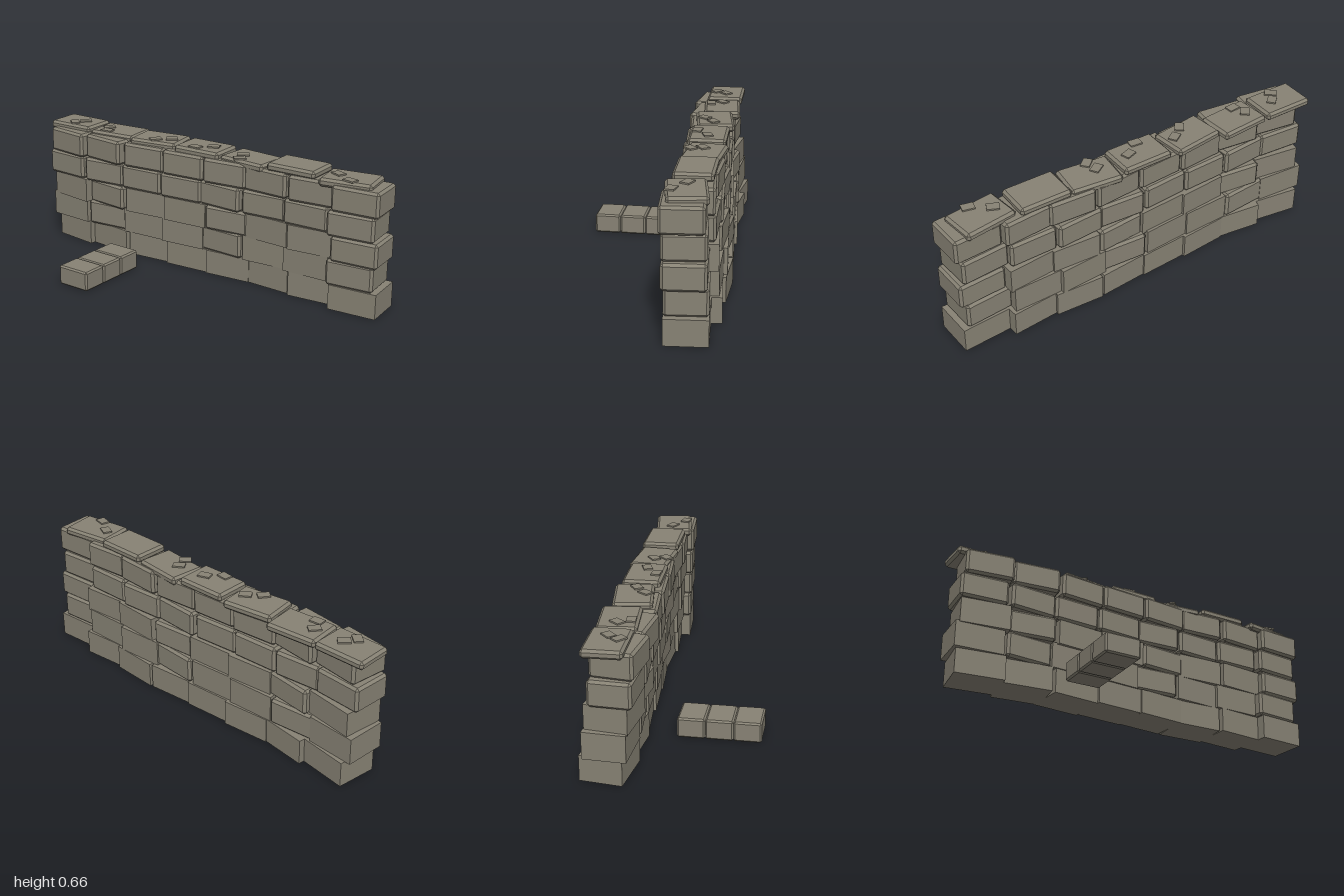
import * as THREE from 'three';
import { ConvexGeometry } from 'three/addons/geometries/ConvexGeometry.js';

const stone = new THREE.MeshStandardMaterial({ color: 0x878274 });
stone.name = 'weathered stone';

// Box with every edge cut by a flat chamfer
function chamferBox(w, h, d, c) {
  const points = [];
  for (const sx of [-1, 1]) for (const sy of [-1, 1]) for (const sz of [-1, 1]) {
    const x = w / 2, y = h / 2, z = d / 2;
    points.push(
      new THREE.Vector3(sx * x, sy * (y - c), sz * (z - c)),
      new THREE.Vector3(sx * (x - c), sy * y, sz * (z - c)),
      new THREE.Vector3(sx * (x - c), sy * (y - c), sz * z));
  }
  return new ConvexGeometry(points);
}

function addBlock(parent, name, geometry, x, y, z, yaw = 0) {
  const mesh = new THREE.Mesh(geometry, stone);
  mesh.name = name;
  mesh.position.set(x, y, z);
  mesh.rotation.y = yaw;
  parent.add(mesh);
  return mesh;
}

export function createModel() {
  const model = new THREE.Group();
  model.name = 'stoneWall';

  // Five leaning courses, eight blocks each, from front to back
  const footX = [0.25, 0.278, 0.285, 0.272, 0.258, 0.25, 0.243, 0.24];
  const lean = [0.005, 0.009, 0.011, 0.011, 0.011, 0.012, 0.014, 0.014];
  const oddYaw = [0.08, 0.1, -0.03, 0.1, 0.08, 0.1, -0.1, -0.12];
  const evenYaw = [0.1, 0.03, 0.08, -0.04, 0.09, 0.06, 0.1, -0.05];
  const courseBase = [0, 0.124, 0.248, 0.374, 0.5];
  const courseHeight = [0.125, 0.131, 0.126, 0.126, 0.127];
  const wall = new THREE.Group();
  wall.name = 'wallCourses';
  model.add(wall);
  courseBase.forEach((base, row) => {
    const h = courseHeight[row];
    const start = row % 2 ? 0.85 : 0.873;
    const yaws = row % 2 ? evenYaw : oddYaw;
    for (let i = 0; i < 8; i++) {
      // Lower courses keep mostly square edges
      const worn = row > 2 || (row > 0 && i % 3 === 0);
      const geometry = worn ? chamferBox(0.2, h, 0.242, 0.012) : new THREE.BoxGeometry(0.2, h, 0.245);
      addBlock(wall, 'wallBlock', geometry,
        footX[i] - lean[i] * row, base + h / 2, start - i * 0.2436, yaws[i]);
    }
  });

  // Capping slabs: x, top height, z, yaw
  const caps = [
    [0.235, 0.65, 0.805, 0.16], [0.238, 0.663, 0.52, 0.02], [0.24, 0.645, 0.245, -0.08],
    [0.23, 0.656, -0.03, 0.03], [0.228, 0.652, -0.315, 0.15], [0.236, 0.645, -0.59, 0.1],
    [0.229, 0.652, -0.865, 0.02],
  ];
  // Two flakes on each slab: x, z, yaw
  const flakes = [
    [[0.172, 0.833, -0.2], [0.23, 0.738, -0.4]],
    [],
    [[0.172, 0.218, 0.75], [0.23, 0.2, 0.6]],
    [[0.172, -0.05, -0.08], [0.23, 0.023, 0.35]],
    [[0.175, -0.305, 0.95], [0.228, -0.24, 0.6]],
    [[0.173, -0.627, 0.1], [0.23, -0.66, 0.9]],
    [[0.178, -0.86, -0.7], [0.23, -0.828, 0.75]],
  ];
  const capGeometry = chamferBox(0.186, 0.042, 0.264, 0.012);
  const flakeGeometry = new THREE.BoxGeometry(0.044, 0.008, 0.06);
  const coping = new THREE.Group();
  coping.name = 'coping';
  model.add(coping);
  caps.forEach(([x, top, z, yaw], i) => {
    addBlock(coping, 'capSlab', capGeometry, x, top - 0.021, z, yaw);
    for (const [fx, fz, turn] of flakes[i])
      addBlock(coping, 'stoneFlake', flakeGeometry, fx, top + 0.003, fz, turn);
  });

  // Row of three low stones beside the wall
  const stepGeometry = chamferBox(0.133, 0.1, 0.18, 0.008);
  for (let i = 0; i < 3; i++)
    addBlock(model, 'looseStone', stepGeometry, -0.3335 + i * 0.1335, 0.05, -0.385);

  return model;
}
